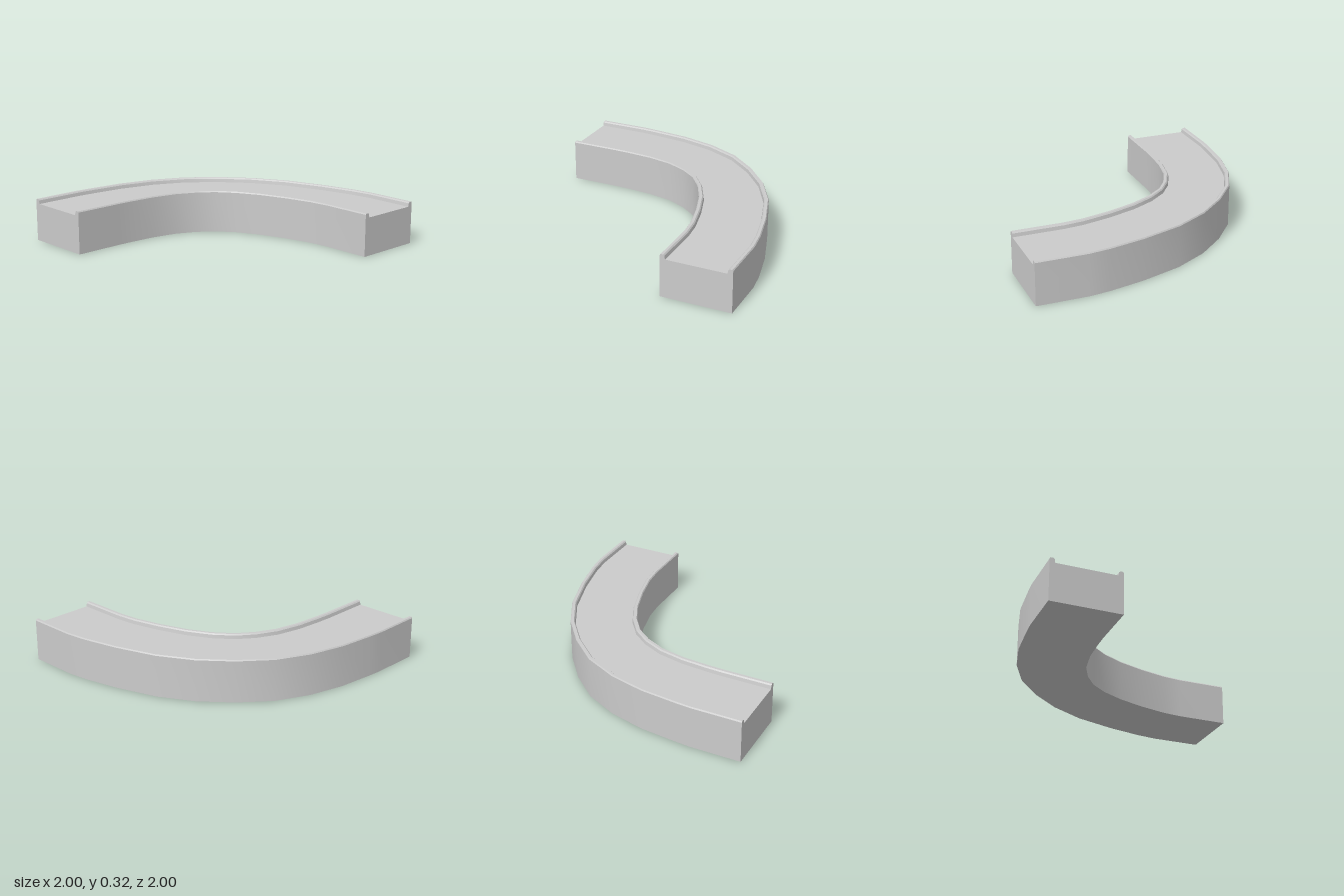
import * as THREE from 'three';

// Plan of the bend, [x, z], running from the front end round to the left end
const OUTER = [[-1, 1], [-1, 0.62], [-0.99, 0.5], [-0.96, 0.23], [-0.89, -0.04], [-0.77, -0.29], [-0.59, -0.5],
  [-0.375, -0.68], [-0.12, -0.82], [0.19, -0.92], [0.46, -0.98], [0.62, -1], [1, -1]];
const INNER = [[-0.47, 1], [-0.47, 0.62], [-0.465, 0.5], [-0.45, 0.31], [-0.41, 0.12], [-0.34, -0.03], [-0.25, -0.15],
  [-0.12, -0.25], [0.05, -0.335], [0.26, -0.405], [0.47, -0.455], [0.62, -0.47], [1, -0.47]];

// Cross-section [fraction from outer to inner side, height]: a slab with a rounded lip on each edge
const FLOOR = 0.29, TOP = 0.325;
const LIP = [[0, 0.316], [0.012, TOP], [0.05, TOP], [0.066, 0.316], [0.075, FLOOR]];
const PROFILE = [[0, 0], [1, 0], ...LIP.map(([u, y]) => [1 - u, y]), ...LIP.slice().reverse()];

// Point of the cross-section at a given station along the bend
function place(station, [u, y]) {
  const [ox, oz] = OUTER[station], [ix, iz] = INNER[station];
  return [ox + (ix - ox) * u, y, oz + (iz - oz) * u];
}

function sweepGeometry() {
  const positions = [], index = [];
  const stations = OUTER.length;

  // One strip per profile edge: smooth along the bend, sharp across it
  PROFILE.forEach((p, k) => {
    const q = PROFILE[(k + 1) % PROFILE.length];
    const base = positions.length / 3;
    for (let i = 0; i < stations; i++) {
      positions.push(...place(i, p), ...place(i, q));
      if (i === stations - 1) continue;
      const a = base + i * 2;
      index.push(a, a + 2, a + 1, a + 1, a + 2, a + 3);
    }
  });

  // Flat end caps
  const faces = THREE.ShapeUtils.triangulateShape(PROFILE.map(([u, y]) => new THREE.Vector2(u, y)), []);
  for (const station of [0, stations - 1]) {
    const base = positions.length / 3;
    PROFILE.forEach((p) => positions.push(...place(station, p)));
    for (const [a, b, c] of faces) {
      if (station === 0) index.push(base + a, base + b, base + c);
      else index.push(base + a, base + c, base + b);
    }
  }

  const geometry = new THREE.BufferGeometry();
  geometry.setAttribute('position', new THREE.Float32BufferAttribute(positions, 3));
  geometry.setIndex(index);
  geometry.computeVertexNormals();
  return geometry;
}

export function createModel() {
  const group = new THREE.Group();
  group.name = 'curvedTrack';
  const track = new THREE.Mesh(sweepGeometry(), new THREE.MeshStandardMaterial({ color: 0xcccccc }));
  track.name = 'trackBend';
  group.add(track);
  return group;
}
